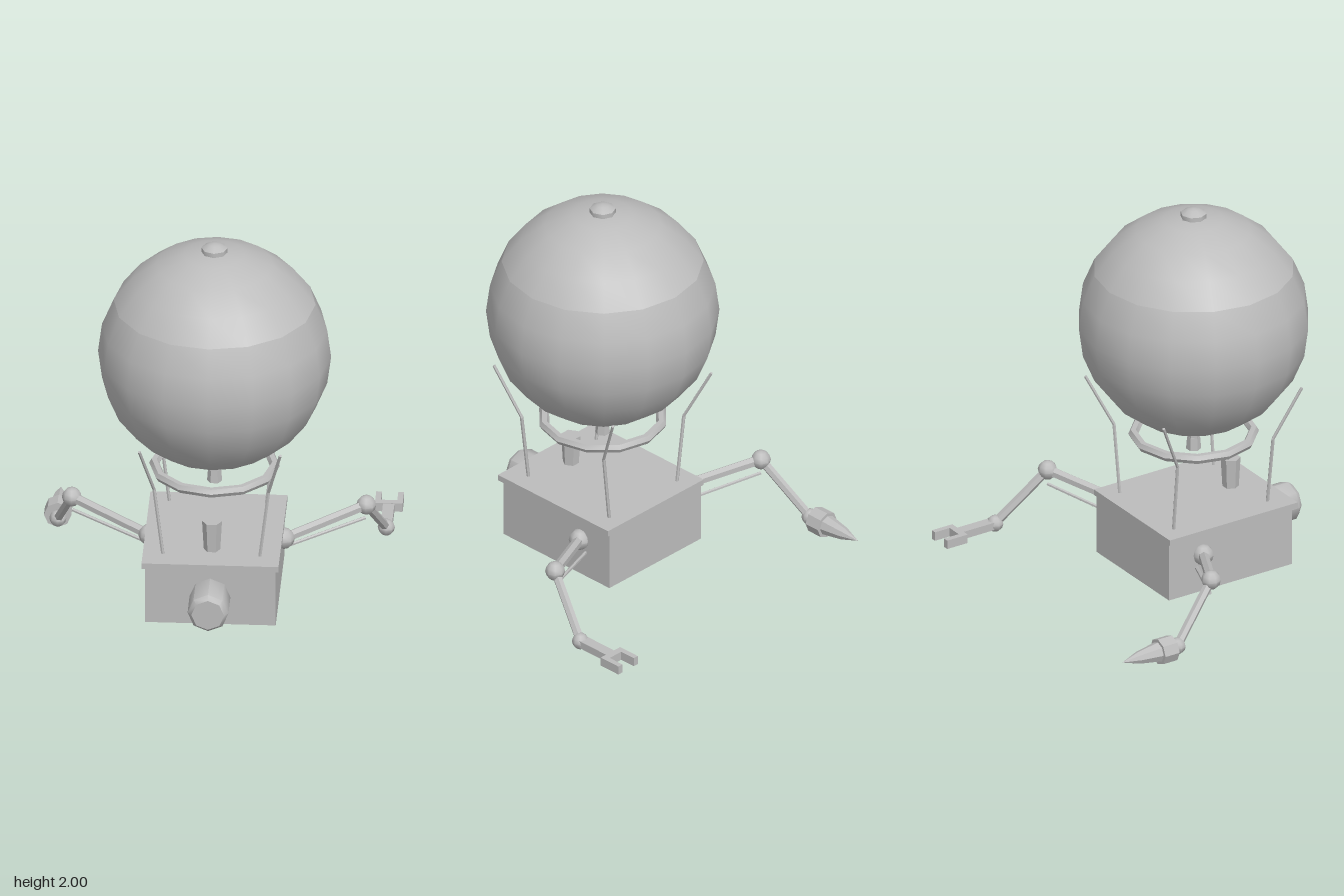
import * as THREE from 'three';
import { toCreasedNormals } from 'three/addons/utils/BufferGeometryUtils.js';

const V = (x, y, z) => new THREE.Vector3(x, y, z);

export function createModel() {
  const model = new THREE.Group();
  model.name = 'balloonProbe';
  const grey = new THREE.MeshStandardMaterial({ color: 0xbcbcbc });
  grey.name = 'plainGrey';

  // Add a mesh with normals smoothed below the crease angle
  function add(parent, name, geometry, x = 0, y = 0, z = 0, crease = 0.6) {
    const mesh = new THREE.Mesh(toCreasedNormals(geometry, crease), grey);
    mesh.name = name;
    mesh.position.set(x, y, z);
    parent.add(mesh);
    return mesh;
  }

  // Straight rod between two points
  function rod(parent, name, a, b, radius, sides = 6) {
    const dir = b.clone().sub(a);
    const mesh = add(parent, name, new THREE.CylinderGeometry(radius, radius, dir.length(), sides));
    mesh.position.copy(a).add(b).multiplyScalar(0.5);
    mesh.quaternion.setFromUnitVectors(V(0, 1, 0), dir.normalize());
    return mesh;
  }

  const lathe = (pts, sides) =>
    new THREE.LatheGeometry(pts.map(([r, y]) => new THREE.Vector2(r, y)), sides);
  const ball = (r) => new THREE.SphereGeometry(r, 8, 6);
  const cz = 0.19; // z of the balloon axis

  // Balloon: upper cap and main envelope
  const split = Math.PI / 3;
  add(model, 'balloonCap', new THREE.SphereGeometry(0.57, 16, 4, 0, Math.PI * 2, 0, split), 0, 1.39, cz);
  add(model, 'balloonEnvelope',
    new THREE.SphereGeometry(0.57, 16, 8, 0, Math.PI * 2, split, Math.PI - split), 0, 1.39, cz);
  add(model, 'topValve',
    lathe([[0.064, 1.94], [0.064, 1.975], [0.055, 1.98], [0.03, 1.995], [0, 2]], 8), 0, 0, cz, 0.85);

  // Burner below the envelope
  add(model, 'burnerPipe', new THREE.CylinderGeometry(0.03, 0.03, 0.1, 6).rotateY(Math.PI / 6), 0, 0.8, cz);
  add(model, 'burnerNozzle', new THREE.CylinderGeometry(0.032, 0.037, 0.065, 6).rotateY(Math.PI / 6), 0, 0.722, cz);

  // Load ring and four bent struts
  add(model, 'loadRing', new THREE.TorusGeometry(0.295, 0.025, 6, 12).rotateX(Math.PI / 2), 0, 0.778, cz);
  for (const sx of [-1, 1]) for (const sz of [-1, 1]) {
    const knee = V(sx * 0.28, 0.78, cz + sz * 0.28);
    rod(model, 'lowerStrut', V(sx * 0.237, 0.42, cz + sz * 0.275), knee, 0.009);
    rod(model, 'upperStrut', knee, V(sx * 0.345, 1.05, cz + sz * 0.405), 0.008);
  }

  // Gondola
  add(model, 'gondolaBody', new THREE.BoxGeometry(0.64, 0.31, 0.722), 0, 0.245, 0.194);
  add(model, 'gondolaLid', new THREE.BoxGeometry(0.67, 0.03, 0.75), 0, 0.41, 0.203);
  add(model, 'chimney', new THREE.CylinderGeometry(0.049, 0.04, 0.16, 6).rotateY(Math.PI / 6), 0, 0.5, 0.407);
  add(model, 'bottomNozzle', new THREE.CylinderGeometry(0.083, 0.125, 0.09, 12), 0, 0.045, cz);
  add(model, 'frontTank',
    lathe([[0, 0.55], [0.08, 0.55], [0.1, 0.575], [0.1, 0.745], [0.08, 0.77], [0, 0.77]], 8)
      .rotateX(Math.PI / 2), 0, 0.25, 0, 0.82);

  // Mirrored arms
  const wristY = 0.12, handX = 0.803;
  for (const s of [-1, 1]) {
    const arm = new THREE.Group();
    arm.name = s > 0 ? 'leftArm' : 'rightArm';
    model.add(arm);
    const shoulder = V(s * 0.33, 0.292, 0.026);
    const elbow = V(s * 0.72, 0.376, -0.187);
    const wrist = V(s * handX, wristY, -0.44);
    add(arm, 'shoulderJoint', ball(0.053), ...shoulder.toArray(), 0.9);
    add(arm, 'elbowJoint', ball(0.049), ...elbow.toArray(), 0.9);
    add(arm, 'wristJoint', ball(0.042), ...wrist.toArray(), 0.9);
    rod(arm, 'upperArm', shoulder, elbow, 0.026);
    rod(arm, 'forearm', elbow, wrist, 0.023);
    rod(arm, 'pistonRod', V(s * 0.31, 0.222, 0), V(s * 0.715, 0.302, -0.19), 0.009);
  }

  // Drill on the right hand
  const drill = new THREE.Group();
  drill.name = 'drill';
  drill.position.set(-handX - 0.003, wristY, 0);
  model.add(drill);
  add(drill, 'drillCollar', new THREE.CylinderGeometry(0.067, 0.067, 0.083, 8).rotateX(Math.PI / 2), 0, 0, -0.514);
  add(drill, 'drillBit',
    lathe([[0.052, 0.55], [0.032, 0.67], [0, 0.765]], 8).rotateX(-Math.PI / 2));

  // Gripper on the left hand
  const gripper = new THREE.Group();
  gripper.name = 'gripper';
  gripper.position.set(handX, wristY, 0);
  model.add(gripper);
  add(gripper, 'gripperStem', new THREE.BoxGeometry(0.056, 0.04, 0.21), 0, 0, -0.545);
  add(gripper, 'gripperPalm', new THREE.BoxGeometry(0.136, 0.046, 0.034), 0, 0, -0.662);
  for (const s of [-1, 1])
    add(gripper, 'gripperFinger', new THREE.BoxGeometry(0.028, 0.046, 0.086), s * 0.054, 0, -0.722);

  return model;
}
